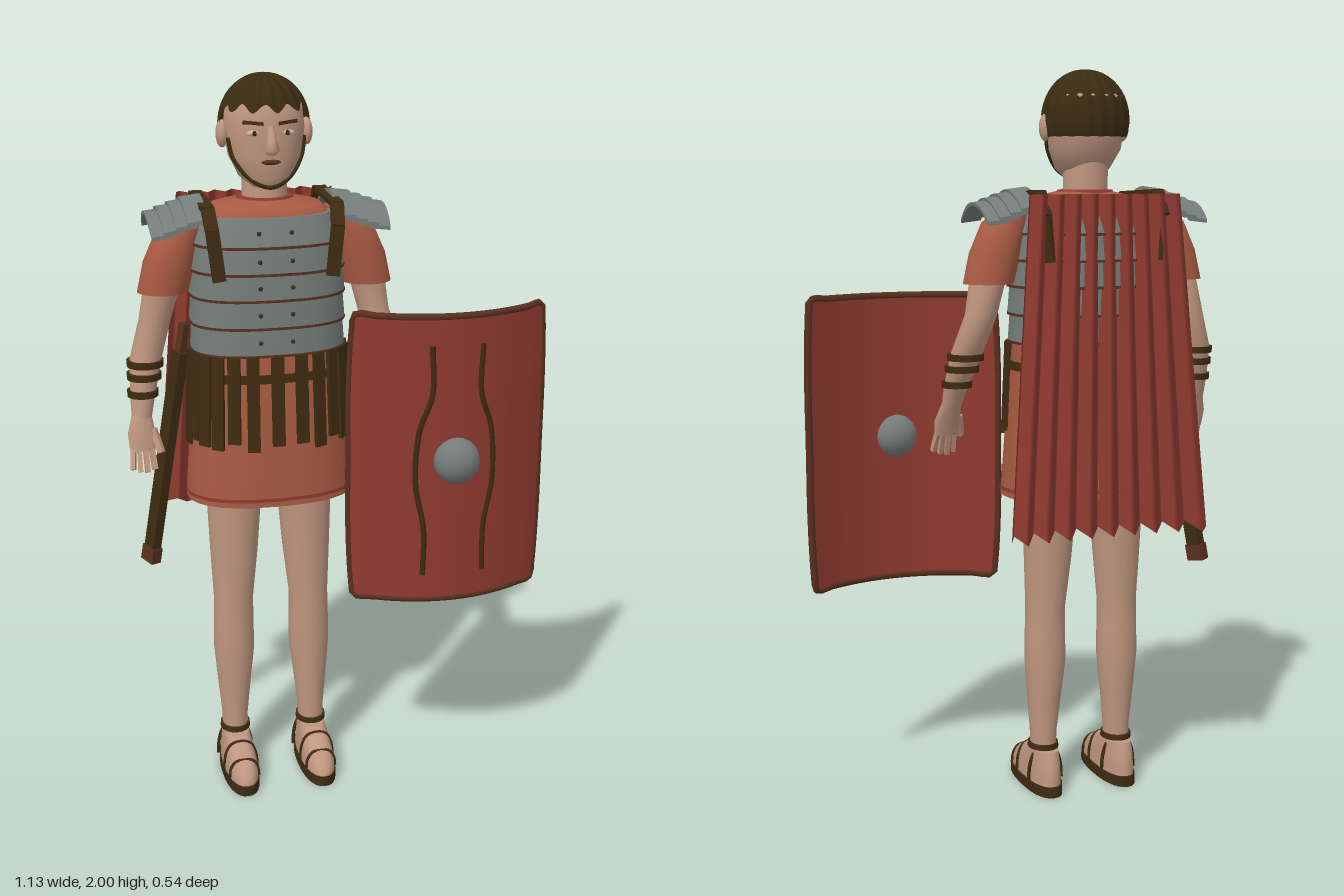
import * as THREE from 'three';
import { ParametricGeometry } from 'three/addons/geometries/ParametricGeometry.js';

const CX = -0.177; // body centre line
const V = (x, y, z) => new THREE.Vector3(x, y, z);
const mat = (name, color, side = THREE.FrontSide) => {
  const m = new THREE.MeshStandardMaterial({ color, side });
  m.name = name;
  return m;
};

// point on a rounded-box ellipse, angle 0 faces the front
function ringPoint(a, rx, rz, p = 1) {
  const s = Math.sin(a), c = Math.cos(a);
  return [rx * Math.sign(s) * Math.abs(s) ** p, rz * Math.sign(c) * Math.abs(c) ** p];
}

// skin through horizontal sections [y, x, z, rx, rz], listed bottom to top
function loft(sections, p = 1, caps = true, n = 28) {
  const pos = [], idx = [];
  const ring = ([y, x, z, rx, rz]) => {
    const start = pos.length / 3;
    for (let i = 0; i < n; i++) {
      const [dx, dz] = ringPoint((i / n) * Math.PI * 2, rx, rz, p);
      pos.push(x + dx, y, z + dz);
    }
    return start;
  };
  const starts = sections.map(ring);
  for (let k = 0; k + 1 < starts.length; k++) {
    for (let i = 0; i < n; i++) {
      const j = (i + 1) % n, b = starts[k], t = starts[k + 1];
      idx.push(b + i, b + j, t + j, b + i, t + j, t + i);
    }
  }
  if (caps) {
    [sections[0], sections[sections.length - 1]].forEach((s, top) => {
      const r = ring(s), c = pos.length / 3;
      pos.push(s[1], s[0], s[2]);
      for (let i = 0; i < n; i++) {
        const j = (i + 1) % n;
        if (top) idx.push(c, r + i, r + j);
        else idx.push(c, r + j, r + i);
      }
    });
  }
  const g = new THREE.BufferGeometry();
  g.setAttribute('position', new THREE.Float32BufferAttribute(pos, 3));
  g.setIndex(idx);
  g.computeVertexNormals();
  return g;
}

function tube(points, r, closed = false, seg = 40) {
  return new THREE.TubeGeometry(new THREE.CatmullRomCurve3(points, closed, 'centripetal'), seg, r, 6, closed);
}

export function createModel() {
  const root = new THREE.Group();
  root.name = 'soldier';
  const skin = mat('skin', 0xbf9680);
  const tunic = mat('tunic cloth', 0xa85a42, THREE.DoubleSide);
  const red = mat('red cloth', 0x8f3a30, THREE.DoubleSide);
  const metal = mat('dull metal', 0x757d7a);
  const leather = mat('leather', 0x3f2c12);
  const hair = mat('hair', 0x3a2b12, THREE.DoubleSide);
  const brown = mat('brown trim', 0x5a3020);
  const white = mat('eye white', 0xc9bcae);

  const add = (name, geo, m, parent = root) => {
    const mesh = new THREE.Mesh(geo, m);
    mesh.name = name;
    parent.add(mesh);
    return mesh;
  };
  // straight bar between two points
  const bar = (name, a, b, w, t, m) => {
    const d = b.clone().sub(a);
    const mesh = add(name, new THREE.BoxGeometry(w, d.length(), t), m);
    mesh.quaternion.setFromUnitVectors(V(0, 1, 0), d.normalize());
    mesh.position.copy(a).add(b).multiplyScalar(0.5);
    return mesh;
  };

  // tunic body, skirt and hem
  const Z = -0.058;
  add('tunicBody', loft([[1.22, CX, Z, 0.195, 0.122], [1.5, CX, Z, 0.195, 0.13], [1.6, CX, Z, 0.19, 0.128],
    [1.64, CX, Z, 0.17, 0.115], [1.665, CX, Z, 0.145, 0.1], [1.68, CX, Z, 0.075, 0.07]], 0.8), tunic);
  add('skirt', loft([[0.86, CX, Z, 0.232, 0.15], [1.05, CX, Z, 0.218, 0.14], [1.29, CX, Z, 0.198, 0.125]], 0.85, false), tunic);
  add('hemStripe', loft([[0.875, CX, Z, 0.234, 0.152], [0.885, CX, Z, 0.2335, 0.1515]], 0.85, false), red);

  // banded cuirass with studs
  const edges = [[1.28, 0.203, 0.132], [1.355, 0.204, 0.135], [1.43, 0.204, 0.139], [1.5, 0.203, 0.141], [1.57, 0.2, 0.139], [1.645, 0.176, 0.121]];
  for (let i = 0; i < 5; i++) {
    const [y, rx, rz] = edges[i], [y2, rx2, rz2] = edges[i + 1];
    add('chestBand', loft([[y, CX, Z, rx + 0.006, rz + 0.005], [y2, CX, Z, rx2, rz2]], 0.8), metal);
    add('bandEdge', loft([[y - 0.003, CX, Z, rx + 0.007, rz + 0.006], [y + 0.004, CX, Z, rx + 0.007, rz + 0.006]], 0.8), brown);
    for (const s of [-1, 1]) {
      const stud = add('stud', new THREE.SphereGeometry(0.006, 8, 6), leather);
      stud.position.set(CX + s * 0.043, (y + y2) / 2, Z + (rz + rz2) / 2 + 0.001);
    }
  }

  // belt and hanging leather strips
  add('belt', loft([[1.205, CX, Z, 0.21, 0.136], [1.228, CX, Z, 0.209, 0.135]], 0.85), leather);
  for (let i = 0; i < 13; i++) {
    const a = (i - 6) * 0.25;
    const [x, z] = ringPoint(a, 0.217, 0.142, 0.85);
    const len = 0.25 + 0.012 * Math.cos(i * 2.4);
    const strip = add('skirtStrip', new THREE.BoxGeometry(0.034, len, 0.01), leather);
    strip.rotation.set(-0.04, a * 0.85, 0, 'YXZ');
    strip.position.set(CX + x, 1.28 - len / 2, Z + z);
  }

  for (const s of [-1, 1]) {
    const X = d => CX + s * d;
    // shoulder straps
    const path = [V(X(0.15), 1.49, 0.082), V(X(0.165), 1.62, 0.076), V(X(0.17), 1.672, 0.045), V(X(0.17), 1.68, -0.16), V(X(0.168), 1.62, -0.198), V(X(0.16), 1.5, -0.203)];
    for (let i = 0; i + 1 < path.length; i++) bar('shoulderStrap', path[i], path[i + 1], 0.035, 0.012, leather);

    // overlapping shoulder plates
    for (let i = 0; i < 4; i++) {
      const g = new THREE.BoxGeometry(0.056, 0.01, 0.215, 1, 1, 10), p = g.attributes.position;
      for (let k = 0; k < p.count; k++) p.setY(k, p.getY(k) - 4.2 * p.getZ(k) ** 2);
      g.computeVertexNormals();
      const plate = add('shoulderPlate', g, metal);
      plate.position.set(X(0.2 + i * 0.031), 1.685 - i * 0.011, -0.062);
      plate.rotation.z = -s * 0.12;
    }

    // sleeve and arm, the left forearm reaching further forward
    const zs = s < 0 ? [-0.045, -0.06, -0.08, -0.085, -0.065] : [0.035, 0.012, -0.035, -0.07, -0.065];
    add('sleeve', loft([[1.44, X(0.278), -0.065, 0.068, 0.064], [1.52, X(0.258), -0.062, 0.07, 0.064], [1.6, X(0.23), -0.06, 0.062, 0.06], [1.65, X(0.19), -0.06, 0.03, 0.035]]), tunic);
    const arm = [[1.1, X(0.35), zs[0], 0.027, 0.024], [1.16, X(0.343), zs[1], 0.034, 0.032], [1.25, X(0.33), zs[2], 0.043, 0.042],
      [1.36, X(0.3), zs[3], 0.043, 0.045], [1.47, X(0.276), zs[4], 0.05, 0.05]];
    add('arm', loft(arm), skin);
    [[0.92, 1], [0.55, 1], [0.05, 1]].forEach(([t]) => {
      const c = arm[1].map((v, k) => THREE.MathUtils.lerp(v, arm[2][k], t));
      add('wristBand', loft([[c[0] - 0.009, c[1], c[2], c[3] + 0.007, c[4] + 0.007], [c[0] + 0.009, c[1], c[2], c[3] + 0.008, c[4] + 0.008]]), leather);
    });
    // hand with fingers and thumb
    const hz = zs[0], f = s < 0 ? 0.025 : 0.035;
    add('palm', loft([[1.015, X(0.354), hz + f, 0.034, 0.014], [1.06, X(0.354), hz + f * 0.6, 0.037, 0.018], [1.11, X(0.35), hz, 0.026, 0.022]]), skin);
    for (let i = 0; i < 4; i++) {
      const d = 0.33 + i * 0.0165;
      bar('finger', V(X(d), 1.02, hz + f), V(X(d + (i - 1.5) * 0.003), 0.955 + Math.abs(i - 1.3) * 0.008, hz + f + 0.025), 0.013, 0.014, skin);
    }
    bar('thumb', V(X(0.322), 1.07, hz + f * 0.6), V(X(0.306), 1.01, hz + f + 0.02), 0.016, 0.016, skin);

    // leg, foot and sandal
    add('leg', loft([[0.09, X(0.113), -0.055, 0.036, 0.042], [0.17, X(0.113), -0.055, 0.037, 0.042], [0.27, X(0.112), -0.058, 0.047, 0.049],
      [0.38, X(0.11), -0.06, 0.058, 0.057], [0.46, X(0.11), -0.059, 0.057, 0.056], [0.54, X(0.109), -0.058, 0.056, 0.056],
      [0.68, X(0.104), -0.062, 0.067, 0.063], [0.85, X(0.1), -0.065, 0.077, 0.07], [0.97, X(0.095), -0.065, 0.08, 0.075]]), skin);
    add('foot', loft([[0.028, X(0.113), 0, 0.047, 0.138], [0.055, X(0.113), -0.002, 0.046, 0.134], [0.085, X(0.113), -0.024, 0.043, 0.108], [0.122, X(0.113), -0.054, 0.037, 0.065]], 0.85), skin);
    add('sole', loft([[0, X(0.113), -0.002, 0.05, 0.143], [0.03, X(0.113), -0.002, 0.05, 0.143]], 0.85), leather);
    add('ankleStrap', loft([[0.125, X(0.113), -0.055, 0.043, 0.049], [0.14, X(0.113), -0.055, 0.042, 0.048]]), leather);
    for (const [z, h, w] of [[0.08, 0.083, 0.042], [0.025, 0.112, 0.048], [-0.07, 0.125, 0.05]]) {
      add('sandalStrap', tube([-1, -0.92, -0.6, 0, 0.6, 0.92, 1].map((u, i) =>
        V(X(0.113) + u * w, 0.03 + (h - 0.03) * [0, 0.5, 0.9, 1, 0.9, 0.5, 0][i], z)), 0.005, false, 20), leather);
    }

    // ear, eye and brow
    const ear = add('ear', new THREE.SphereGeometry(0.036, 14, 10), skin);
    ear.scale.set(0.45, 1, 0.65);
    ear.position.set(X(0.112), 1.848, -0.055);
    const eye = add('eye', new THREE.SphereGeometry(0.018, 12, 8), white);
    eye.scale.set(1, 0.42, 0.4);
    eye.position.set(X(0.044), 1.857, 0.029);
    const pupil = add('pupil', new THREE.SphereGeometry(0.007, 8, 6), hair);
    pupil.position.set(X(0.043), 1.857, 0.032);
    bar('eyebrow', V(X(0.02), 1.88, 0.036), V(X(0.07), 1.884, 0.018), 0.008, 0.01, hair);
  }

  // neck and head
  add('neck', loft([[1.65, CX, -0.065, 0.068, 0.066], [1.69, CX, -0.065, 0.06, 0.06], [1.8, CX, -0.068, 0.06, 0.062]]), skin);
  add('collar', loft([[1.668, CX, -0.063, 0.084, 0.077], [1.685, CX, -0.063, 0.074, 0.07]]), red);
  add('head', loft([[1.715, CX, -0.028, 0.04, 0.045], [1.74, CX, -0.043, 0.072, 0.073], [1.79, CX, -0.058, 0.095, 0.093],
    [1.86, CX, -0.064, 0.106, 0.102], [1.93, CX, -0.062, 0.098, 0.096], [1.98, CX, -0.06, 0.05, 0.05]], 0.92), skin);
  add('nose', loft([[1.803, CX, 0.036, 0.012, 0.016], [1.815, CX, 0.04, 0.021, 0.031], [1.84, CX, 0.038, 0.013, 0.02], [1.875, CX, 0.034, 0.009, 0.008]]), skin);
  const mouth = add('mouth', new THREE.SphereGeometry(0.026, 14, 8), brown);
  mouth.scale.set(1, 0.28, 0.4);
  mouth.position.set(CX, 1.783, 0.031);
  add('jawLine', tube([-1, -0.9, -0.5, 0, 0.5, 0.9, 1].map((u, i) =>
    V(CX + u * 0.1, [1.84, 1.79, 1.737, 1.716, 1.737, 1.79, 1.84][i], [-0.03, -0.018, 0.008, 0.02, 0.008, -0.018, -0.03][i])), 0.006), hair);

  // ridged hair, longer at the back, jagged fringe in front
  add('hair', new ParametricGeometry((u, v, t) => {
    const a = u * Math.PI * 2, front = Math.cos(a);
    const back = 1 - THREE.MathUtils.smoothstep(front, -0.15, 0.4);
    const end = Math.PI * (0.375 + 0.235 * back + 0.028 * Math.sin(a * 11) * (1 - back));
    const th = v * end, r = 1.012 + 0.018 * Math.cos(a * 18) * Math.min(1, v * 2);
    t.set(CX + 0.117 * r * Math.sin(th) * Math.sin(a), 1.868 + 0.13 * Math.cos(th) * r, -0.06 + 0.111 * r * Math.sin(th) * front);
  }, 108, 14), hair);

  // pleated cape
  add('cape', new ParametricGeometry((u, v, t) => {
    const h = u * 2 - 1;
    const fold = Math.asin(Math.sin(u * Math.PI * 18)) / (Math.PI / 2);
    t.set(CX + h * (0.215 + 0.07 * v), 1.675 - 0.9 * v - 0.012 * fold * v, -0.202 - 0.022 * v - 0.035 * v * h ** 4 - 0.018 * fold);
  }, 72, 8), red);

  // scabbard on the right hip
  const top = V(-0.415, 1.27, -0.065), low = V(-0.503, 0.69, -0.12);
  bar('scabbard', top, low, 0.042, 0.028, leather);
  bar('scabbardTip', low, V(-0.51, 0.645, -0.124), 0.05, 0.032, brown);
  bar('swordGrip', V(-0.402, 1.35, -0.058), top, 0.022, 0.02, brown);

  // curved shield
  const shield = new THREE.Group();
  shield.name = 'shield';
  shield.position.set(0.28, 0.993, 0);
  root.add(shield);
  const sz = x => 0.208 - 0.092 * (x / 0.272) ** 2;
  const pinch = y => 1 - 0.05 * (y / 0.4) ** 6;
  const g = new THREE.BoxGeometry(0.544, 0.8, 0.012, 24, 14, 1), p = g.attributes.position;
  for (let i = 0; i < p.count; i++) {
    const x = p.getX(i) * pinch(p.getY(i));
    p.setXYZ(i, x, p.getY(i), p.getZ(i) + sz(x));
  }
  g.computeVertexNormals();
  add('shieldBoard', g, red, shield);
  const rim = [], side = [-0.4, -0.36, -0.2, 0, 0.2, 0.36, 0.4];
  for (const y of side) rim.push(V(0.272 * pinch(y), y, sz(0.272 * pinch(y))));
  for (let i = 1; i < 10; i++) { const x = 0.258 * (1 - i / 5); rim.push(V(x, 0.4, sz(x))); }
  for (const y of [...side].reverse()) rim.push(V(-0.272 * pinch(y), y, sz(0.272 * pinch(y))));
  for (let i = 1; i < 10; i++) { const x = 0.258 * (i / 5 - 1); rim.push(V(x, -0.4, sz(x))); }
  add('shieldRim', tube(rim, 0.01, true, 140), brown, shield);
  for (const s of [-1, 1]) {
    const pts = [[0.07, 0.325], [0.068, 0.19], [0.1, 0.09], [0.108, -0.06], [0.085, -0.19], [0.085, -0.325]];
    add('shieldStripe', tube(pts.map(([x, y]) => V(s * x, y, sz(x) + 0.006)), 0.008), leather, shield);
  }
  const boss = add('shieldBoss', new THREE.SphereGeometry(0.064, 16, 10), metal, shield);
  boss.scale.z = 0.85;
  boss.position.set(0, 0.005, 0.22);

  return root;
}
